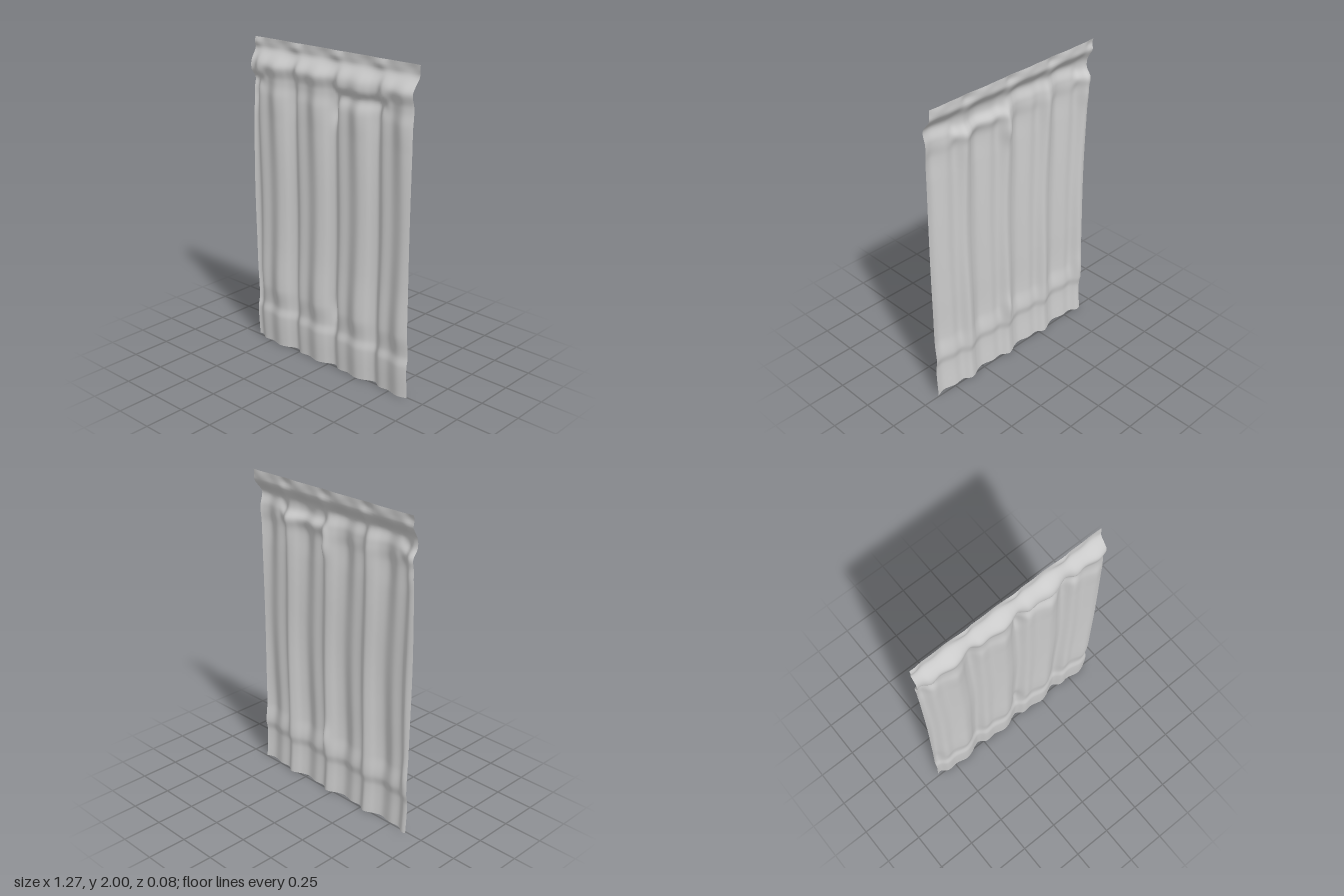
import * as THREE from 'three';

const W = 1.27, H = 2, PERIOD = 0.327, FOLD = 0.047;

// Smooth (cubic) lookup in a short table of [key, value...] rows
function lookup(rows, t, col) {
  let i = 0;
  while (i < rows.length - 2 && t > rows[i + 1][0]) i++;
  const a = rows[i], b = rows[i + 1];
  const before = rows[Math.max(i - 1, 0)], after = rows[Math.min(i + 2, rows.length - 1)];
  const h = b[0] - a[0], k = THREE.MathUtils.clamp((t - a[0]) / h, 0, 1);
  const ma = h * (b[col] - before[col]) / (b[0] - before[0]);
  const mb = h * (after[col] - a[col]) / (after[0] - a[0]);
  const k2 = k * k, k3 = k2 * k;
  return a[col] * (2 * k3 - 3 * k2 + 1) + ma * (k3 - 2 * k2 + k)
    + b[col] * (3 * k2 - 2 * k3) + mb * (k3 - k2);
}

// One pleat across: quick rise from the fold, shallow dip, crest, fall (ends overlap to repeat)
const PLEAT = [
  [-0.12, -0.55], [0, -1], [0.14, 0.4], [0.36, 0.2], [0.6, 1], [0.76, 0.4], [0.88, -0.55], [1, -1], [1.14, 0.4],
];

// Height, cloth centre in z, pleat depth
const HANG = [
  [0, 0.003, 0.021], [0.2, 0.013, 0.021], [0.27, 0.002, 0.022], [0.4, 0.012, 0.03],
  [0.7, 0.011, 0.026], [1.15, 0.012, 0.021], [1.5, 0.011, 0.026], [1.66, 0.01, 0.031],
  [1.77, 0.003, 0.022], [1.85, 0.023, 0.016], [1.93, -0.031, 0],
  [1.97, -0.032, -0.009], [2, -0.035, -0.003],
];

const bump = (v, c, w) => Math.exp(-(((v - c) / w) ** 2));
const step = THREE.MathUtils.smoothstep;

function clothZ(x, y) {
  // the folds bow sideways at mid height
  const drift = 0.014 * bump(y, 1, 0.42);
  const u = (x - FOLD - drift) / PERIOD;
  const pleat = lookup(PLEAT, u - Math.floor(u), 1);
  // panels where the gathered heading hangs lower and tucks under
  const gathered = step(x, 0.02, 0.07) * (1 - step(x, 0.42, 0.47)) + 1 - step(x, -0.56, -0.5);
  const yy = y + 0.025 * gathered * bump(y, 1.8, 0.05);
  let z = lookup(HANG, yy, 1) + lookup(HANG, yy, 2) * pleat;
  z -= 0.01 * gathered * bump(y, 1.745, 0.035);
  z += 0.004 * (1 - gathered) * bump(y, 1.77, 0.04);
  // deeper tucks beside the middle fold and the outer fold
  const tuck = bump(x, 0.05, 0.03) + 0.4 * bump(x, -0.6, 0.04);
  z -= 0.018 * tuck * (bump(y, 1.65, 0.07) + bump(y, 0.38, 0.08));
  return z;
}

export function createModel() {
  const group = new THREE.Group();
  group.name = 'curtain';

  // Hanging cloth with heading and hem
  const geo = new THREE.PlaneGeometry(W, H, 120, 160);
  geo.translate(0, H / 2, 0);
  const p = geo.attributes.position;
  for (let i = 0; i < p.count; i++) p.setZ(i, clothZ(p.getX(i), p.getY(i)));
  geo.computeVertexNormals();

  const cloth = new THREE.Mesh(geo, new THREE.MeshStandardMaterial({
    color: 0xcccccc, side: THREE.DoubleSide,
  }));
  cloth.name = 'pleatedCloth';
  group.add(cloth);
  return group;
}
